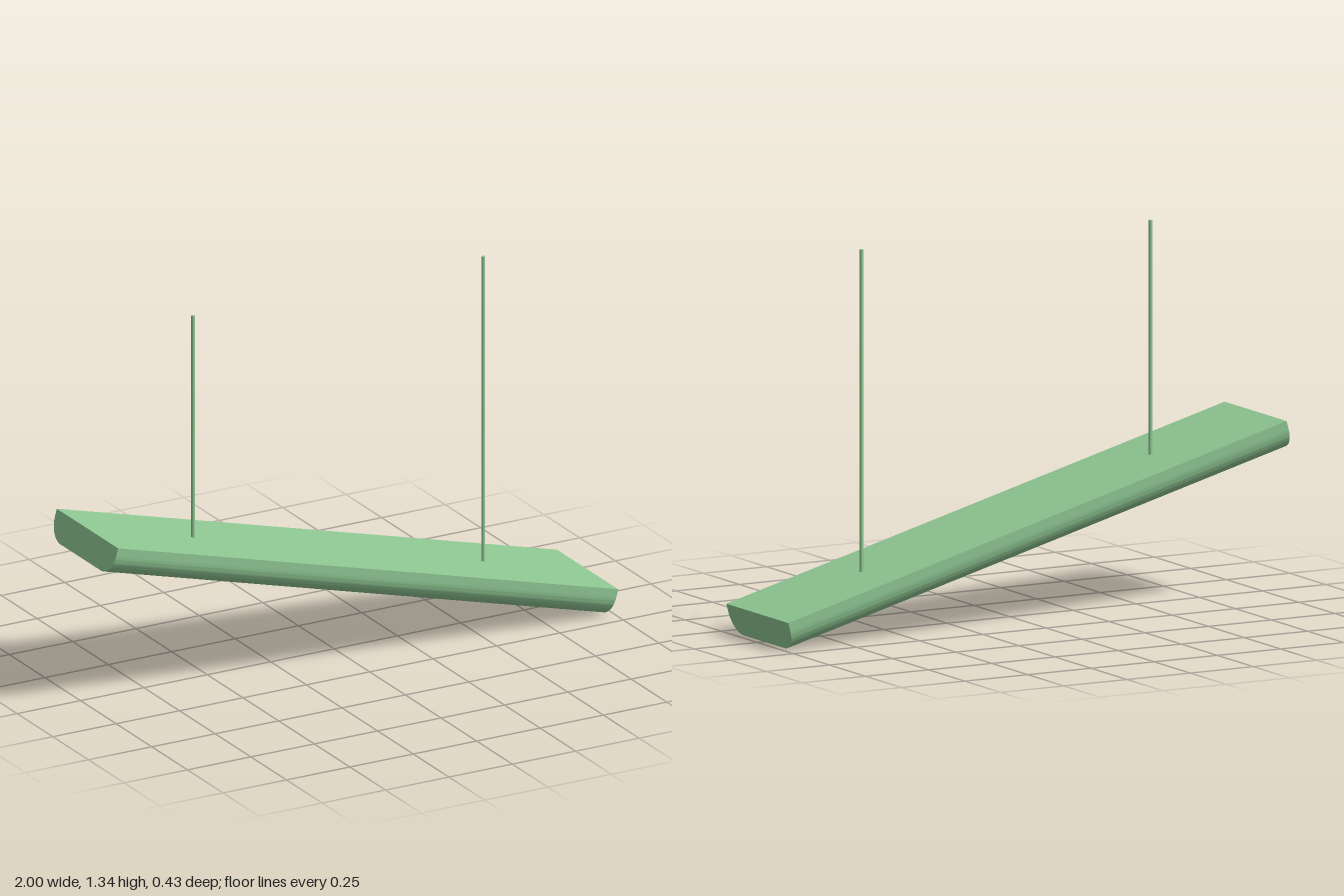
import * as THREE from 'three';
import { toCreasedNormals } from 'three/addons/utils/BufferGeometryUtils.js';

const L = 2.042, T = 0.105, W = 0.43, R = 0.075;   // housing length, thickness, width, lower corner radius
const TILT = Math.PI / 12, MID_Y = 0.315;
const OPEN_W = 0.26, END = 0.11, DEPTH = 0.085;    // recess in the underside

export function createModel() {
  const group = new THREE.Group();
  const mat = new THREE.MeshStandardMaterial({ color: 0x8fc793 });
  const add = (parent, name, geo, x, y, z) => {
    const mesh = new THREE.Mesh(geo, mat);
    mesh.name = name;
    mesh.position.set(x, y, z);
    parent.add(mesh);
    return mesh;
  };

  // Housing cross-section, with or without the channel for the louvre
  const section = (recessed) => {
    const w = W / 2, h = T / 2, o = OPEN_W / 2, s = new THREE.Shape();
    s.moveTo(w, h);
    s.lineTo(-w, h);
    s.lineTo(-w, -h + R);
    s.absarc(-w + R, -h + R, R, Math.PI, Math.PI * 1.5, false);
    if (recessed) {
      s.lineTo(-o, -h);
      s.lineTo(-o, -h + DEPTH);
      s.lineTo(o, -h + DEPTH);
      s.lineTo(o, -h);
    }
    s.absarc(w - R, -h + R, R, Math.PI * 1.5, Math.PI * 2, false);
    s.closePath();
    return s;
  };
  const bar = (recessed, length) => {
    const geo = new THREE.ExtrudeGeometry(section(recessed), { depth: length, bevelEnabled: false, curveSegments: 12 });
    geo.translate(0, 0, -length / 2).rotateY(Math.PI / 2);
    return toCreasedNormals(geo, 0.5);
  };

  // Tilted lamp: recessed middle between two solid ends
  const lamp = new THREE.Group();
  lamp.name = 'lamp';
  lamp.position.y = MID_Y;
  lamp.rotation.z = -TILT;
  group.add(lamp);
  const inner = L - 2 * END;
  add(lamp, 'housing', bar(true, inner), 0, 0, 0);
  for (const side of [-1, 1]) add(lamp, 'housingEnd', bar(false, END), side * (L - END) / 2, 0, 0);

  // Louvre grid: one long divider and evenly spaced cross blades
  const cells = 9, bladeH = 0.05, thick = 0.01, bladeY = -T / 2 + bladeH / 2 + 0.003;
  add(lamp, 'louvreDivider', new THREE.BoxGeometry(inner, bladeH, thick), 0, bladeY, 0);
  for (let i = 1; i < cells; i++) {
    add(lamp, 'louvreBlade', new THREE.BoxGeometry(thick, bladeH, OPEN_W), -inner / 2 + inner * i / cells, bladeY, 0);
  }

  // Vertical hanging rods, ending just inside the sloping top
  const top = 1.336;
  for (const x of [-0.556, 0.588]) {
    const surface = MID_Y + T / 2 / Math.cos(TILT) - x * Math.tan(TILT);
    const h = top - surface + 0.004;
    add(group, 'hangingRod', new THREE.CylinderGeometry(0.0065, 0.0065, h, 16), x, top - h / 2, 0);
  }
  return group;
}
